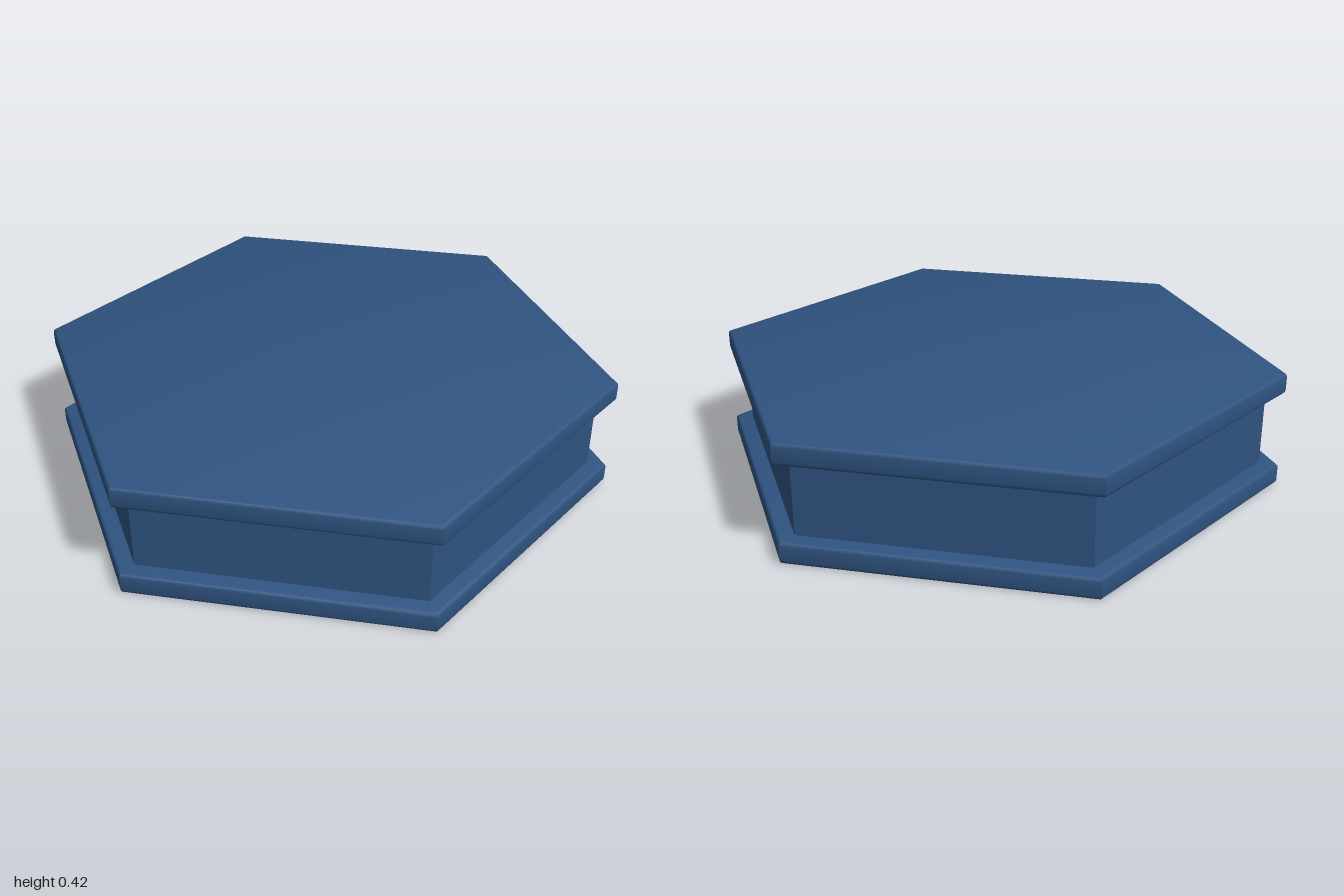
import * as THREE from 'three';
import { toCreasedNormals } from 'three/addons/utils/BufferGeometryUtils.js';

const HEIGHT = 0.416;
const PLATE = 0.076;
const BEVEL = 0.014;

// Six-sided solid from a [radius, y] profile, with corners on the x axis
function hexSolid(name, profile, material) {
  const points = profile.map(([r, y]) => new THREE.Vector2(r, y));
  const lathe = new THREE.LatheGeometry(points, 6, Math.PI / 2);
  const mesh = new THREE.Mesh(toCreasedNormals(lathe, 0.7), material);
  mesh.name = name;
  return mesh;
}

// Plate profile with softly rounded rims
function plateProfile() {
  const profile = [[0, 0]];
  for (const [y, start] of [[BEVEL, -Math.PI / 2], [PLATE - BEVEL, 0]]) {
    for (let i = 0; i <= 3; i++) {
      const a = start + (i * Math.PI) / 6;
      profile.push([1 - BEVEL + BEVEL * Math.cos(a), y + BEVEL * Math.sin(a)]);
    }
  }
  profile.push([0, PLATE]);
  return profile;
}

export function createModel() {
  const blue = new THREE.MeshStandardMaterial({ color: 0x2f5380 });
  blue.name = 'dark blue';

  const model = new THREE.Group();
  model.name = 'hexagonalCase';

  // Matching plates at the bottom and top
  const bottom = hexSolid('bottomPlate', plateProfile(), blue);
  const top = hexSolid('topPlate', plateProfile(), blue);
  top.position.y = HEIGHT - PLATE;

  // Recessed core between them
  const low = PLATE - 0.01;
  const high = HEIGHT - PLATE + 0.01;
  const core = hexSolid('core', [[0, low], [0.935, low], [0.935, high], [0, high]], blue);

  model.add(bottom, core, top);
  return model;
}
